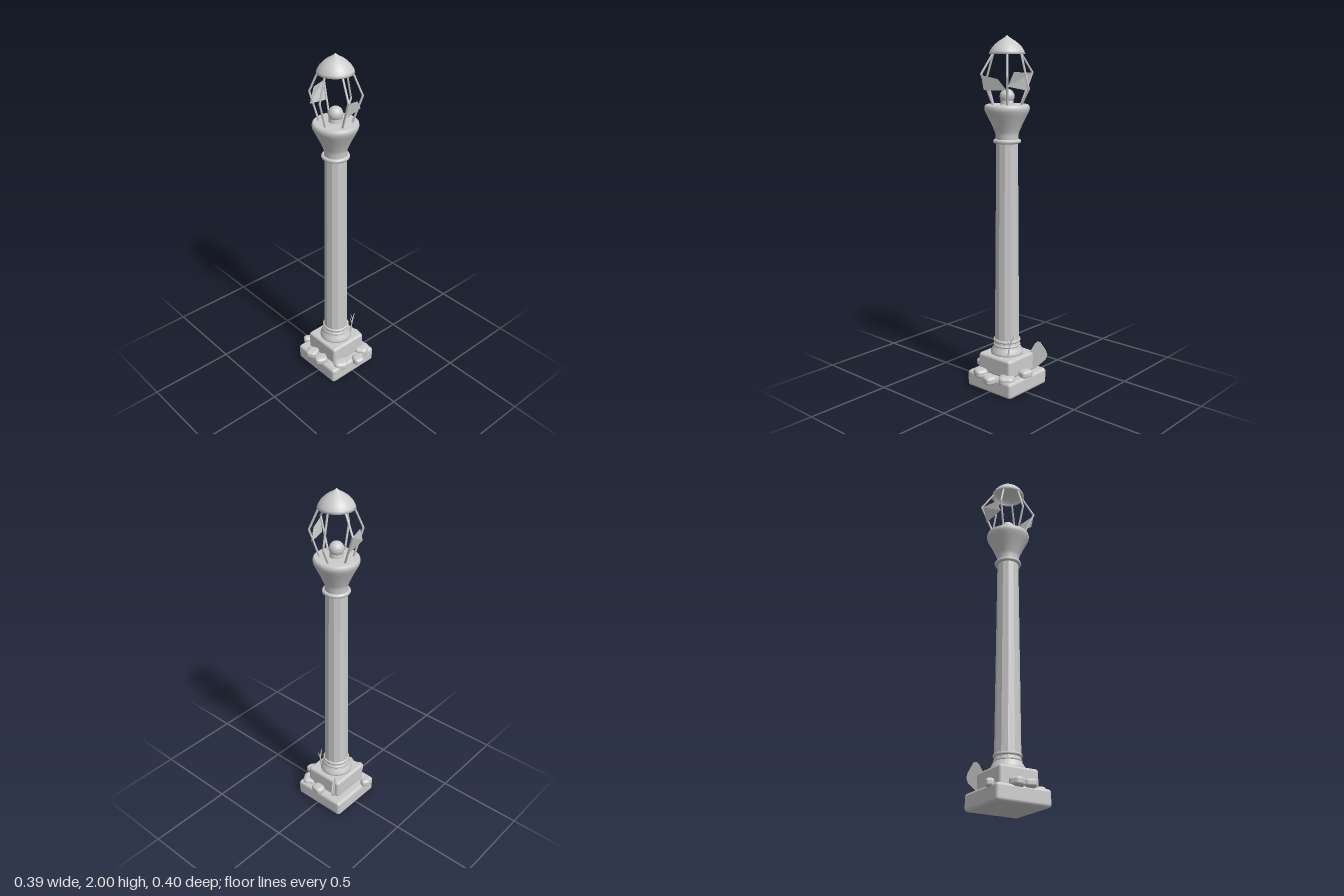
import * as THREE from 'three';
import { RoundedBoxGeometry } from 'three/addons/geometries/RoundedBoxGeometry.js';

const AXIS_Z = -0.014;
const V = (x, y, z) => new THREE.Vector3(x, y, z);

export function createModel() {
  const group = new THREE.Group();
  const smooth = new THREE.MeshStandardMaterial({ color: 0xcccccc });
  const flat = new THREE.MeshStandardMaterial({ color: 0xcccccc, flatShading: true });
  const thin = new THREE.MeshStandardMaterial({ color: 0xcccccc, side: THREE.DoubleSide });
  const thinFlat = new THREE.MeshStandardMaterial({ color: 0xcccccc, side: THREE.DoubleSide, flatShading: true });

  const add = (name, geometry, material, x = 0, y = 0, z = AXIS_Z) => {
    const mesh = new THREE.Mesh(geometry, material);
    mesh.name = name;
    mesh.position.set(x, y, z);
    group.add(mesh);
    return mesh;
  };
  const lathe = (points, sides = 32) =>
    new THREE.LatheGeometry(points.map(([r, y]) => new THREE.Vector2(r, y)), sides);
  // straight round rod between two points
  const rod = (name, a, b, r0, r1 = r0) => {
    const mesh = add(name, new THREE.CylinderGeometry(r1, r0, a.distanceTo(b), 6), smooth);
    mesh.position.copy(a).lerp(b, 0.5);
    mesh.quaternion.setFromUnitVectors(V(0, 1, 0), b.clone().sub(a).normalize());
  };

  // stepped stone plinth
  add('lowerPlinth', new RoundedBoxGeometry(0.33, 0.095, 0.328, 3, 0.018), smooth, 0.001, 0.0475);
  add('upperPlinth', new RoundedBoxGeometry(0.238, 0.112, 0.236, 3, 0.016), smooth, 0.002, 0.146);

  // flared foot and faceted, slightly tapered shaft
  add('columnFoot', lathe([[0, 0.195], [0.094, 0.195], [0.094, 0.212], [0.084, 0.23], [0.073, 0.25], [0.066, 0.29]]), smooth);
  add('shaft', new THREE.CylinderGeometry(0.061, 0.072, 1.22, 12), flat, 0, 0.85);
  for (const [y, r, t] of [[0.252, 0.07, 0.008], [0.28, 0.07, 0.009], [1.43, 0.066, 0.012]]) {
    add('collarRing', new THREE.TorusGeometry(r, t, 8, 32).rotateX(Math.PI / 2), smooth, 0, y);
  }

  // flared capital carrying the lantern
  add('capital', lathe([[0.062, 1.42], [0.063, 1.465], [0.069, 1.485], [0.089, 1.53], [0.112, 1.575],
    [0.122, 1.595], [0.125, 1.61], [0.122, 1.624], [0.113, 1.631], [0, 1.631]]), smooth);

  // lamp bulb
  add('bulbSocket', new THREE.CylinderGeometry(0.034, 0.038, 0.025, 16), smooth, 0, 1.642);
  add('bulb', new THREE.SphereGeometry(0.041, 16, 12), smooth, 0, 1.674);

  // bent lantern bars: angle around the axis comes from the bend point [x, y, z]
  const bends = [[0.053, 1.8, -0.165], [-0.088, 1.79, -0.117], [-0.128, 1.77, 0.011],
    [-0.05, 1.795, 0.138], [0.093, 1.78, 0.09], [0.132, 1.715, -0.04]];
  for (const [x, y, z] of bends) {
    const dir = V(x, 0, z - AXIS_Z).normalize();
    const at = (r, h) => V(dir.x * r, h, AXIS_Z + dir.z * r);
    const bend = V(x, y, z);
    rod('lanternBar', at(0.086, 1.905), bend, 0.006);
    rod('lanternBar', bend, at(0.088, 1.628), 0.006);
    add('barJoint', new THREE.SphereGeometry(0.006, 6, 4), smooth, x, y, z);
  }

  // broken panes left between the bars
  const pane = (corners) => {
    const geometry = new THREE.BufferGeometry().setFromPoints(corners.map((c) => V(...c)));
    geometry.setIndex([0, 1, 2, 0, 2, 3]);
    geometry.computeVertexNormals();
    add('brokenPane', geometry, thinFlat, 0, 0, 0);
  };
  pane([[-0.085, 1.72, -0.117], [-0.05, 1.8, -0.127], [0.05, 1.8, -0.163], [0.045, 1.7, -0.135]]);
  pane([[-0.05, 1.79, 0.138], [-0.045, 1.71, 0.124], [0.085, 1.71, 0.083], [0.04, 1.77, 0.107]]);

  // hollow domed cap with a pointed tip
  add('cap', lathe([[0.088, 1.9], [0.099, 1.9], [0.094, 1.914], [0.082, 1.934], [0.064, 1.953],
    [0.042, 1.97], [0.02, 1.983], [0.009, 1.991], [0, 2]]), thin);

  // loose rounded stones: x, y, z, width, height, depth, turn
  const stones = [
    [-0.089, 0.1, -0.174, 0.055, 0.045, 0.046, -0.5],
    [-0.154, 0.107, -0.055, 0.075, 0.05, 0.072, 0.5],
    [-0.154, 0.107, 0.022, 0.075, 0.045, 0.07, -0.45],
    [-0.083, 0.092, 0.122, 0.082, 0.05, 0.075, -0.5],
    [0.025, 0.088, 0.161, 0.064, 0.048, 0.07, -0.25],
    [0.105, 0.092, 0.108, 0.09, 0.052, 0.08, 0.6],
    [0.152, 0.112, -0.002, 0.062, 0.045, 0.075, -0.15],
  ];
  for (const [x, y, z, w, h, d, turn] of stones) {
    const stone = add('stone', new RoundedBoxGeometry(1, 1, 1, 4, 0.34), smooth, x, y, z);
    stone.scale.set(w, h, d);
    stone.rotation.y = turn;
  }

  // thin upright slab leaning by the back corner
  const outline = [[0, 0.2], [0.03, 0.255], [0.046, 0.268], [0.062, 0.265], [0.095, 0.215],
    [0.103, 0.19], [0.094, 0.162], [0.03, 0.1], [0.012, 0.12]];
  const slab = new THREE.Shape(outline.map(([s, y]) => new THREE.Vector2(s, y)));
  const plate = add('thinSlab', new THREE.ExtrudeGeometry(slab, { depth: 0.006, bevelEnabled: false }),
    flat, 0.102, 0, -0.1);
  plate.rotation.y = 0.52;

  // small bare twig at the column foot
  const twig = [
    [[0.062, 0.195, 0.05], [0.078, 0.285, 0.048], 0.005],
    [[0.078, 0.285, 0.048], [0.102, 0.337, 0.042], 0.004],
    [[0.076, 0.275, 0.048], [0.055, 0.328, 0.058], 0.004],
    [[0.086, 0.302, 0.046], [0.078, 0.335, 0.035], 0.003],
  ];
  for (const [a, b, r] of twig) rod('twig', V(...a), V(...b), r, r * 0.6);

  return group;
}
